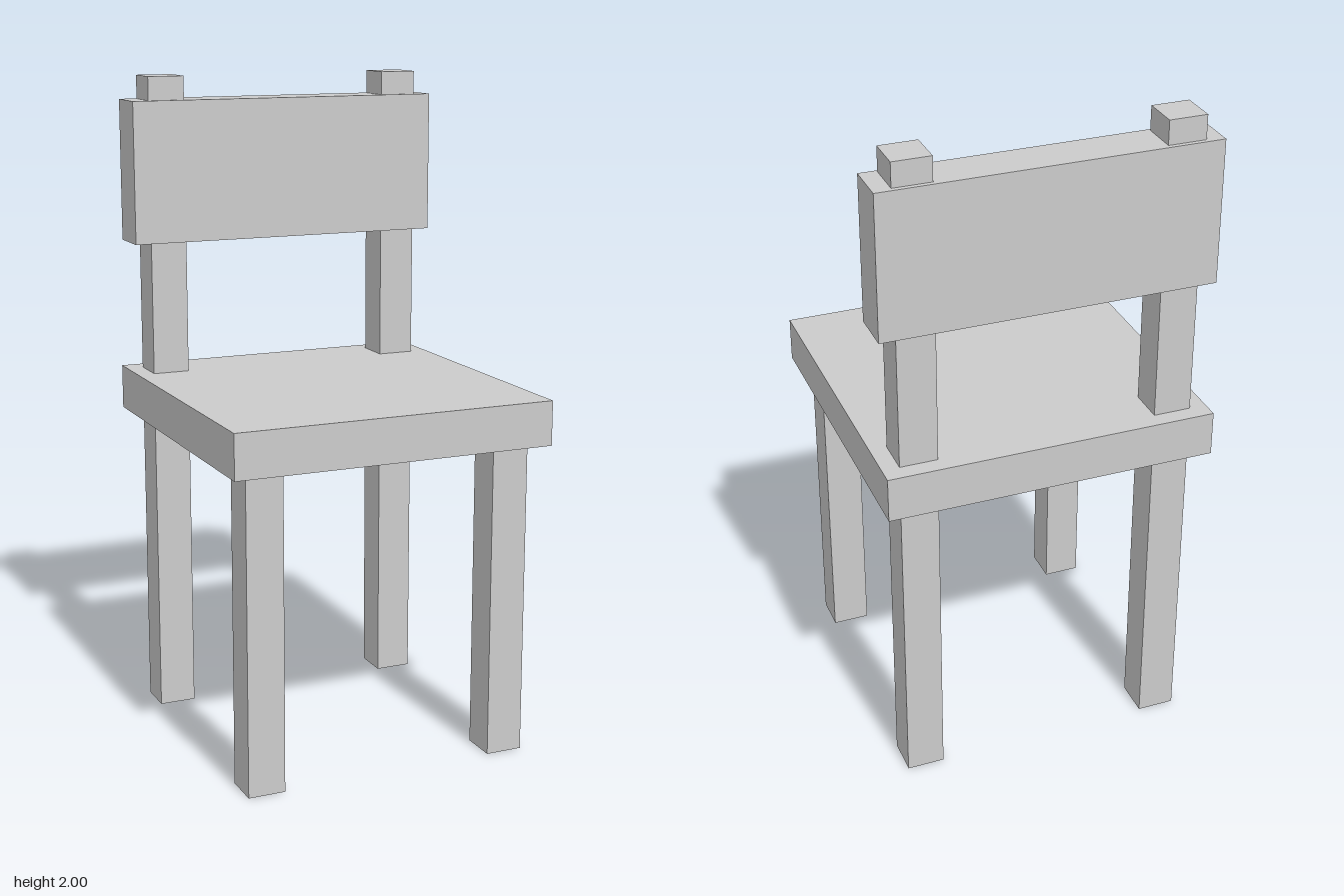
import * as THREE from 'three';

export function createModel() {
  const group = new THREE.Group();
  const material = new THREE.MeshStandardMaterial({ color: 0xcccccc, flatShading: true });

  // Box resting on height y0 and reaching y1
  function addBox(name, width, depth, y0, y1, x, z) {
    const mesh = new THREE.Mesh(new THREE.BoxGeometry(width, y1 - y0, depth), material);
    mesh.position.set(x, (y0 + y1) / 2, z);
    mesh.name = name;
    group.add(mesh);
  }

  const seatBottom = 0.957;
  const legWidth = 0.113;
  const legOffset = 0.387;

  addBox('seat', 0.99, 0.99, seatBottom, 1.092, 0, 0);
  addBox('backrest', 0.99, 0.135, 1.497, 1.928, 0, -0.39);

  // Front legs stop under the seat, back legs run up as backrest posts
  for (const [side, sign] of [['left', 1], ['right', -1]]) {
    addBox(side + 'FrontLeg', legWidth, legWidth, 0, seatBottom, sign * legOffset, legOffset);
    addBox(side + 'BackLegPost', legWidth, legWidth, 0, 2, sign * legOffset, -legOffset);
  }

  return group;
}
